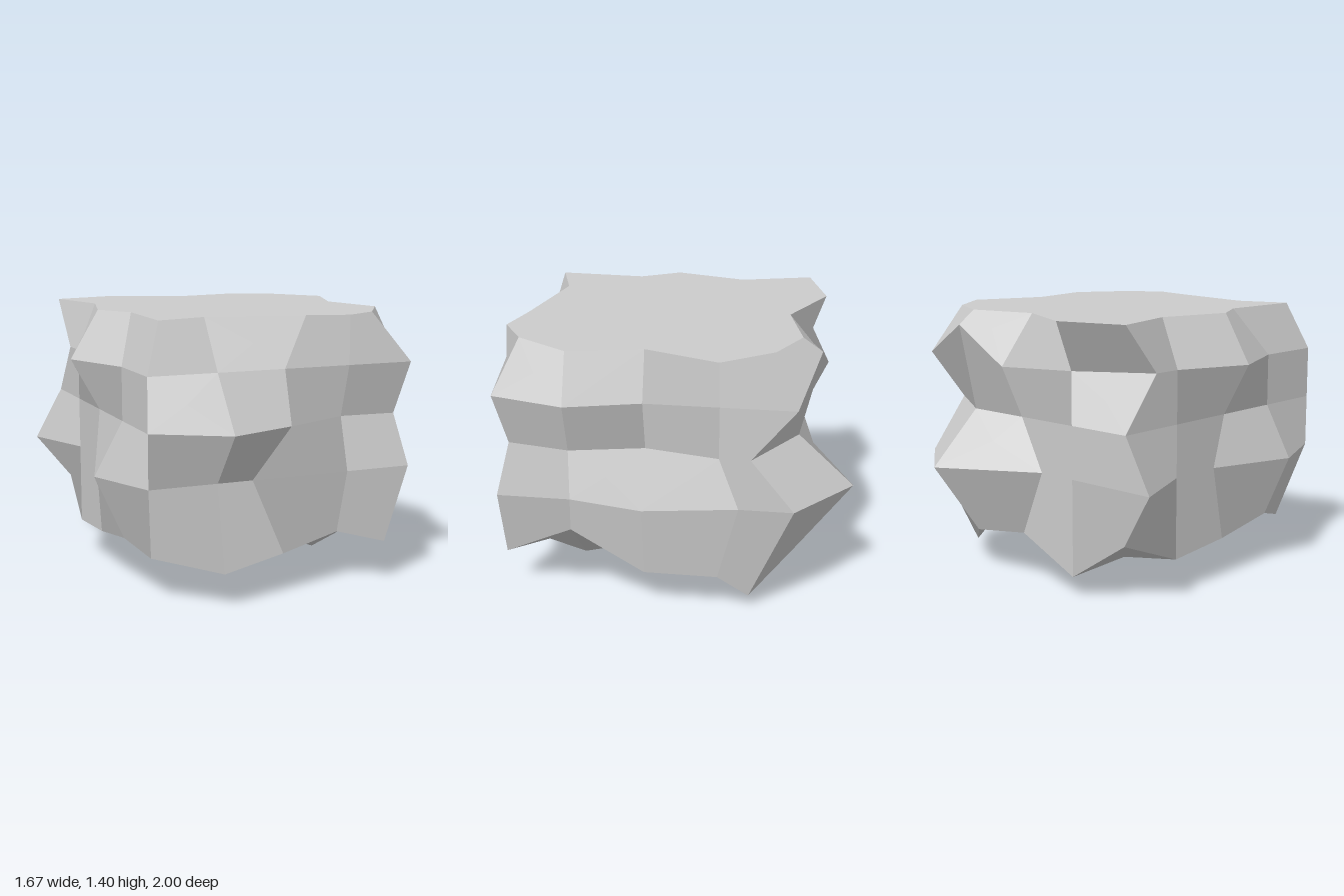
import * as THREE from 'three';

// The boulder is a block of 4 x 4 cells whose outer points are dented
const gridX = (i) => -0.69 + 0.355 * i;
const gridZ = (j) => 0.79 - 0.375 * j;

// Way along each side in turn: front, left, back, right
const ALONG = [[1, 0], [0, -1], [-1, 0], [0, 1]];

// Ring of 16 points at one height, starting at the front right corner.
// push moves a point outward, slide along its side, lift upward.
function ring(y, push, slide = {}, lift = {}) {
  return Array.from({ length: 16 }, (_, k) => {
    const side = Math.floor(k / 4), step = k % 4;
    const i = [step, 4, 4 - step, 0][side];
    const j = [0, step, 4, 4 - step][side];
    const p = push[k] || 0, s = slide[k] || 0;
    // Corners push out on both axes and slide along the side before them
    const [tx, tz] = ALONG[step ? side : (side + 3) % 4];
    const outX = Math.sign(i % 4 ? 0 : i - 2), outZ = Math.sign(j % 4 ? 0 : 2 - j);
    return [gridX(i) + outX * p + tx * s, y + (lift[k] || 0), gridZ(j) + outZ * p + tz * s];
  });
}

// Rings from the foot to the flat top
const foot = ring(0.22,
  { 0: -0.07, 1: 0.09, 3: -0.1, 8: -0.09, 12: -0.09 },
  { 0: -0.1, 4: -0.13, 8: -0.13 },
  { 1: -0.04, 3: 0.05, 5: 0.22, 8: -0.15, 10: 0.05, 11: -0.11, 12: 0.08, 13: -0.03, 15: 0.06 });
const lower = ring(0.61,
  { 6: 0.08, 9: 0.29, 15: 0.15 },
  { 2: -0.17, 7: 0.1, 10: 0.14, 12: 0.15, 14: -0.08 });
const middle = ring(0.88, { 1: 0.21, 2: 0.08, 3: -0.08, 4: -0.06, 6: -0.08 }, { 8: -0.22 });
const upper = ring(1.15,
  { 5: 0.1, 9: 0.1, 10: 0.13, 12: -0.22, 14: 0.15 }, { 12: 0.22 }, { 9: 0.18 });
const top = ring(1.4,
  { 0: -0.09, 1: -0.17, 2: -0.06, 4: -0.11, 6: -0.08, 7: 0.06, 8: -0.12,
    10: -0.08, 11: 0.1, 13: -0.1, 15: -0.11 },
  { 2: 0.14, 4: -0.06, 15: -0.17 });

// Heights of the inner points of the underside, front row first
const UNDERSIDE = [[0.25, 0.25, 0.12], [0.36, 0, 0.25], [0.2, 0.24, 0.28]];

function undersidePoint(i, j) {
  if (j === 0) return foot[i];
  if (i === 4) return foot[4 + j];
  if (j === 4) return foot[12 - i];
  if (i === 0) return foot[16 - j];
  return [gridX(i), UNDERSIDE[j - 1][i - 1], gridZ(j)];
}

function rockGeometry() {
  const pos = [], normals = [];

  // One bent facet: four triangles about its middle, shaded as one plane
  function facet(...corners) {
    const [a, b, c, d] = corners.map((p) => new THREE.Vector3(...p));
    const normal = c.clone().sub(a).cross(d.clone().sub(b)).normalize().toArray();
    const mid = a.clone().add(b).add(c).add(d).divideScalar(4).toArray();
    corners.forEach((p, n) => {
      pos.push(...p, ...corners[(n + 1) % 4], ...mid);
      normals.push(...normal, ...normal, ...normal);
    });
  }

  // Sides and flat top
  const rings = [foot, lower, middle, upper, top];
  for (let k = 0; k < 16; k++) {
    const n = (k + 1) % 16;
    for (let r = 0; r < 4; r++) {
      facet(rings[r][k], rings[r][n], rings[r + 1][n], rings[r + 1][k]);
    }
    pos.push(...top[k], ...top[n], 0, 1.4, 0);
    normals.push(0, 1, 0, 0, 1, 0, 0, 1, 0);
  }

  // Underside
  for (let j = 0; j < 4; j++) {
    for (let i = 0; i < 4; i++) {
      facet(undersidePoint(i, j), undersidePoint(i, j + 1),
        undersidePoint(i + 1, j + 1), undersidePoint(i + 1, j));
    }
  }

  const geometry = new THREE.BufferGeometry();
  geometry.setAttribute('position', new THREE.Float32BufferAttribute(pos, 3));
  geometry.setAttribute('normal', new THREE.Float32BufferAttribute(normals, 3));
  return geometry;
}

export function createModel() {
  const model = new THREE.Group();
  model.name = 'boulder';
  const rock = new THREE.Mesh(
    rockGeometry(),
    new THREE.MeshStandardMaterial({ color: 0xcccccc })
  );
  rock.name = 'rock';
  model.add(rock);
  return model;
}
